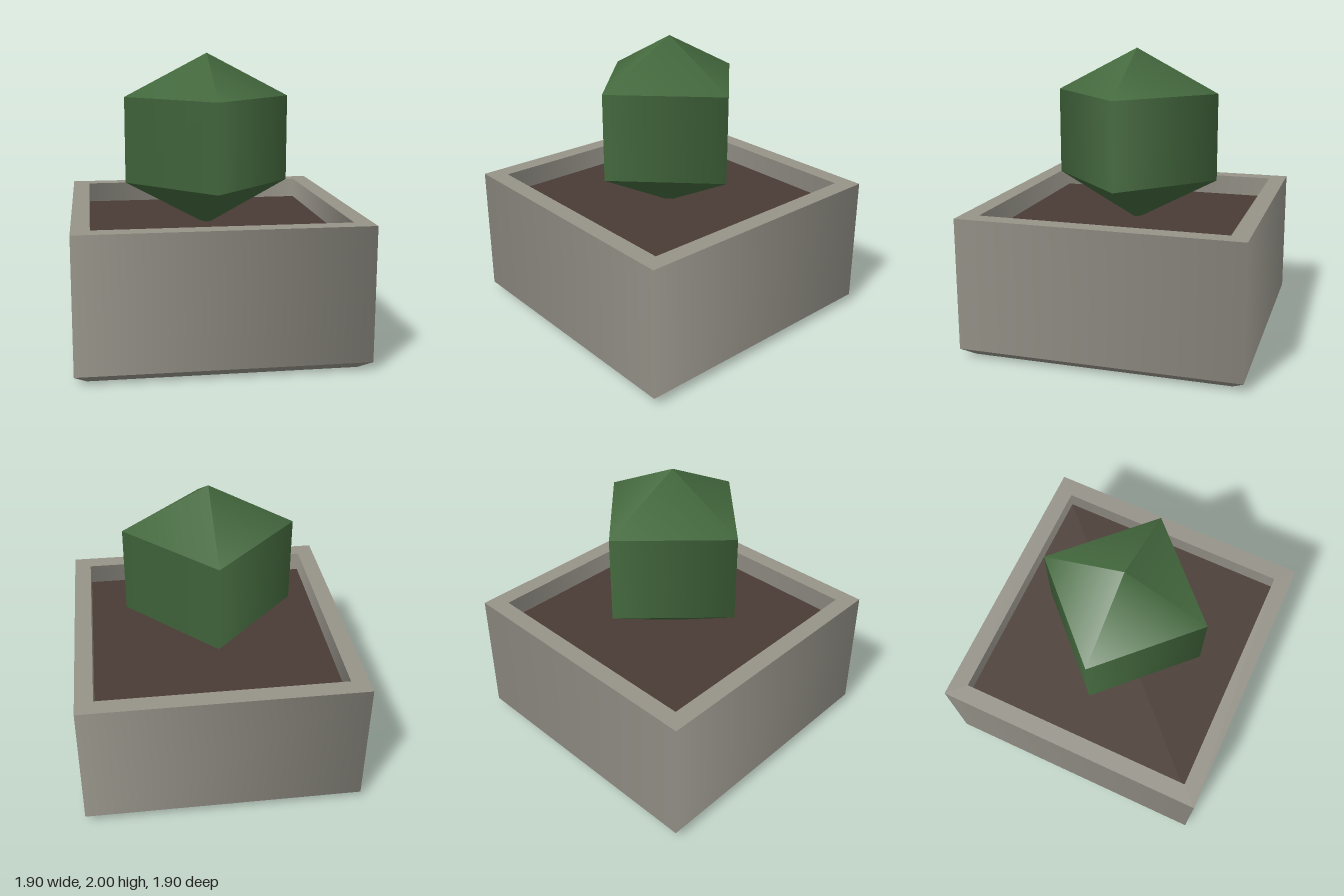
import * as THREE from 'three';

export function createModel() {
  const model = new THREE.Group();
  const stone = new THREE.MeshStandardMaterial({ color: 0x969389, side: THREE.DoubleSide });
  const soil = new THREE.MeshStandardMaterial({ color: 0x4a3c35, side: THREE.DoubleSide });
  const leaf = new THREE.MeshStandardMaterial({ color: 0x44693e });

  const add = (parent, name, geometry, material) => {
    const mesh = new THREE.Mesh(geometry, material);
    mesh.name = name;
    parent.add(mesh);
    return mesh;
  };

  // Four-sided open band with softly shaded corners; radii run to the corners
  const band = (top, bottom, y0, y1, turn) =>
    new THREE.CylinderGeometry(top, bottom, y1 - y0, 4, 1, true, turn)
      .translate(0, (y0 + y1) / 2, 0);
  // Same, sized by half width and squared to the axes
  const squareBand = (top, bottom, y0, y1) =>
    band(top * Math.SQRT2, bottom * Math.SQRT2, y0, y1, Math.PI / 4);
  // Flat square frame, facing up or down
  const frame = (inner, outer, y, up) =>
    new THREE.RingGeometry(inner * Math.SQRT2, outer * Math.SQRT2, 4, 1, Math.PI / 4)
      .rotateX(up ? -Math.PI / 2 : Math.PI / 2)
      .translate(0, y, 0);

  // Square planter, open underneath
  const half = 0.95, inner = 0.83, foot = 0.87, rimY = 0.955, soilY = 0.81;
  const planter = new THREE.Group();
  planter.name = 'planter';
  model.add(planter);
  add(planter, 'outerWall', squareBand(half, half, 0.06, rimY), stone);
  add(planter, 'footChamfer', squareBand(half, foot, 0, 0.06), stone);
  add(planter, 'rim', frame(inner, half, rimY, true), stone);
  add(planter, 'footEdge', frame(inner, foot, 0, false), stone);
  add(planter, 'innerWall', squareBand(inner, inner, soilY, rimY), stone);

  // Soil: hollow block closed at the top
  const earth = new THREE.Group();
  earth.name = 'soil';
  model.add(earth);
  add(earth, 'soilSides', squareBand(inner, inner, 0, soilY), soil);
  add(earth, 'soilTop', new THREE.PlaneGeometry(inner * 2, inner * 2)
    .rotateX(-Math.PI / 2).translate(0, soilY, 0), soil);

  // Shrub: four-sided prism with pointed ends, corners on the axes
  const shrub = new THREE.Group();
  shrub.name = 'shrub';
  model.add(shrub);
  const r = 0.575;
  add(shrub, 'shrubTop', band(0, r, 1.7, 2, 0), leaf);
  add(shrub, 'shrubBody', band(r, r, 1.1, 1.7, 0), leaf);
  add(shrub, 'shrubBase', band(r, 0, 0.79, 1.1, 0), leaf);

  return model;
}
